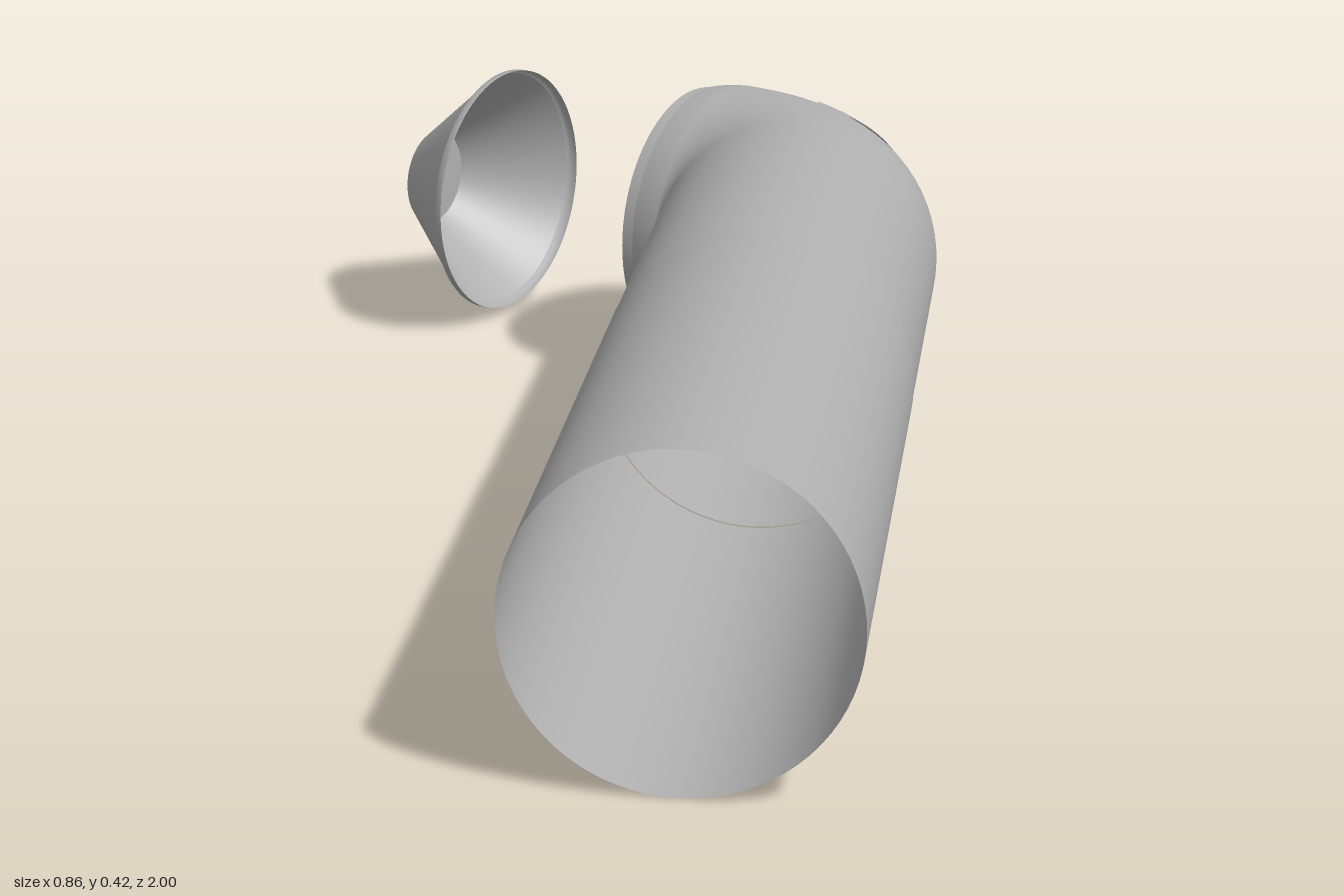
import * as THREE from 'three';

const grey = new THREE.MeshStandardMaterial({ color: 0xb0b0b0, side: THREE.DoubleSide });
grey.name = 'grey';

const MID_Y = 0.215, R = 0.21, BEND_X = 0.002, BEND_Z = -0.47, REACH = 0.212;
const END = THREE.MathUtils.degToRad(64.5);
const SIDES = 72;

// Grid of points from fn(i, j); wraps around j when closed
function surface(rows, cols, closed, fn) {
  const pos = [], idx = [];
  for (let i = 0; i < rows; i++) for (let j = 0; j < cols; j++) pos.push(...fn(i, j));
  for (let i = 0; i < rows - 1; i++) {
    for (let j = 0; j < (closed ? cols : cols - 1); j++) {
      const a = i * cols + j, b = i * cols + ((j + 1) % cols);
      idx.push(a, a + cols, b, b, a + cols, b + cols);
    }
  }
  const g = new THREE.BufferGeometry();
  g.setAttribute('position', new THREE.Float32BufferAttribute(pos, 3));
  g.setIndex(idx);
  g.computeVertexNormals();
  return g;
}

// Section of the pipe: turn angle, distance past that angle along the pipe, radius
const section = (angle, along, r) => ({ angle, along, r });

function loft(sections) {
  return surface(sections.length, SIDES, true, (i, j) => {
    const { angle, along, r } = sections[i];
    const phi = (j / SIDES) * Math.PI * 2;
    const c = Math.cos(angle), s = Math.sin(angle);
    const d = REACH + r * Math.cos(phi);
    return [BEND_X + d * c - along * s, MID_Y + r * Math.sin(phi), BEND_Z - d * s - along * c];
  });
}

function add(parent, name, geometry) {
  const mesh = new THREE.Mesh(geometry, grey);
  mesh.name = name;
  parent.add(mesh);
  return mesh;
}

const lathe = (pts) => new THREE.LatheGeometry(pts.map(p => new THREE.Vector2(...p)), SIDES);

export function createModel() {
  const model = new THREE.Group();
  model.name = 'elbowPipe';
  const axisOut = new THREE.Vector3(-Math.sin(END), 0, -Math.cos(END));

  // Straight sleeve, open at the front
  add(model, 'frontSleeve', loft([section(0, BEND_Z - 1, R + 0.001), section(0, BEND_Z - 0.107, R + 0.001)]));

  // Rear pipe: straight run, then the elbow, then a short neck
  const rear = [section(0, BEND_Z - 0.105, R), section(0, -0.05, R)];
  const steps = 24;
  for (let k = 0; k <= steps; k++) rear.push(section(END * k / steps, 0, R));
  rear.push(section(END, 0.02, R - 0.002), section(END, 0.04, R - 0.006));
  add(model, 'elbow', loft(rear));

  // Lip around the mouth, with a flat lens closing it
  add(model, 'mouthStep', loft([section(END, 0.04, R - 0.006), section(END, 0.041, R - 0.011)]));
  add(model, 'mouthLip', loft([section(END, 0.041, R - 0.011), section(END, 0.061, R - 0.011)]));
  const lens = add(model, 'mouthLens', new THREE.CircleGeometry(R - 0.011, SIDES));
  lens.position.set(BEND_X + REACH * Math.cos(END), MID_Y, BEND_Z - REACH * Math.sin(END))
    .addScaledVector(axisOut, 0.059);
  lens.quaternion.setFromUnitVectors(new THREE.Vector3(0, 0, 1), axisOut);

  // Round-ended strap over the outside of the elbow, inside and outside skins
  const strapAngle = THREE.MathUtils.degToRad(31), span = THREE.MathUtils.degToRad(72), half = 0.05;
  for (const [name, lift] of [['strapOuter', 0.002], ['strapInner', -0.002]]) {
    add(model, name, surface(9, 81, false, (i, j) => {
      const u = -Math.cos(Math.PI * j / 80);
      const phi = u * span, r = R + lift;
      const e = 1 - Math.min(1, (span - Math.abs(phi)) * R / half);
      const across = (i / 4 - 1) * half * Math.sqrt(Math.max(0, 1 - e * e));
      const d = REACH + r * Math.cos(phi);
      const t = strapAngle + Math.asin(across / d);
      return [BEND_X + d * Math.cos(t), MID_Y + r * Math.sin(phi), BEND_Z - d * Math.sin(t)];
    }));
  }

  // Loose cone cup, its wide open side facing the mouth
  const cup = new THREE.Group();
  cup.name = 'coneCup';
  cup.position.set(-0.4, 0.208, -0.887);
  cup.quaternion.setFromUnitVectors(new THREE.Vector3(0, 1, 0), axisOut.clone().negate());
  add(cup, 'coneWall', lathe([[0.074, 0], [0.184, 0.132]]));
  add(cup, 'coneRim', lathe([[0.184, 0.132], [0.19, 0.136], [0.19, 0.147]]));
  add(cup, 'coneFloor', lathe([[0, 0], [0.074, 0]]));

  // Two small terminals through the floor
  for (const side of [-1, 1]) {
    const x = -axisOut.x * 0.047 * side, z = -axisOut.z * 0.047 * side;
    add(cup, 'terminal', new THREE.CylinderGeometry(0.01, 0.01, 0.006, 20)).position.set(x, 0, z);
    const ring = add(cup, 'terminalRing', new THREE.TorusGeometry(0.016, 0.0025, 8, 24));
    ring.position.set(x, 0, z);
    ring.rotation.x = Math.PI / 2;
  }
  model.add(cup);
  return model;
}
